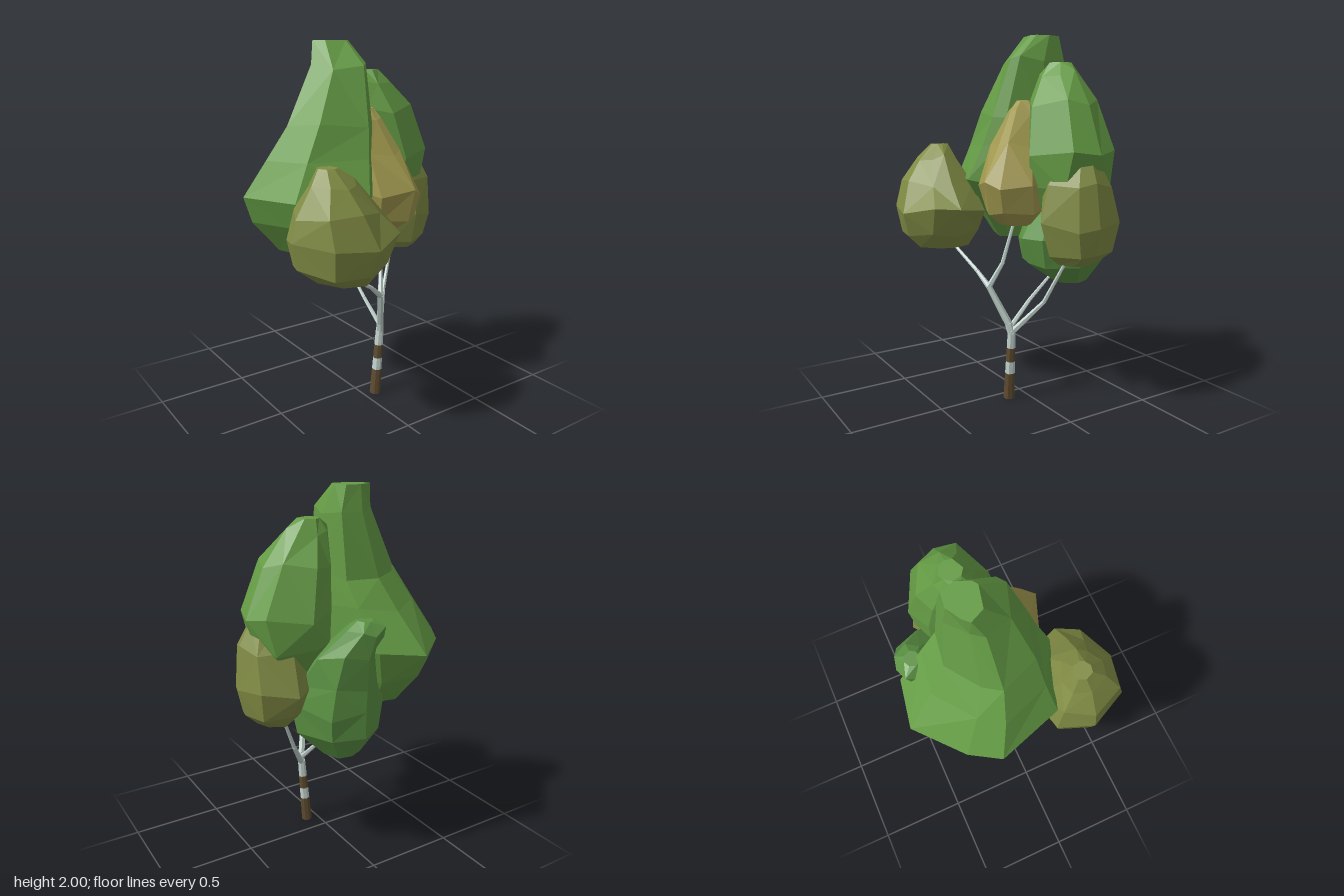
import * as THREE from 'three';

const paint = (color) => new THREE.MeshStandardMaterial({ color, flatShading: true });

// Small seeded generator for the irregular facets
function seeded(seed) {
  let s = seed;
  return () => (s = (s * 16807) % 2147483647) / 2147483647;
}

// Irregular plan outline, running from +x towards +z
function roughPlan(rand, sides = 8) {
  return Array.from({ length: sides }, (_, i) => {
    const a = ((i + 0.5 * (rand() - 0.5)) / sides) * Math.PI * 2;
    return [Math.cos(a), Math.sin(a)];
  });
}

// Foliage clump: the plan is fitted to each ring [y, xMin, xMax, zMin, zMax], bottom to top
function clump(name, color, seed, rings, basePlan) {
  const rand = seeded(seed);
  for (let i = 0; i < 5; i++) rand();
  const plan = basePlan || roughPlan(rand);
  const n = plan.length, last = rings.length - 1;
  const pos = [], index = [];
  rings.forEach(([y, x0, x1, z0, z1], r) => {
    const pts = plan.map(([x, z]) => [x + 0.1 * (rand() - 0.5), z + 0.1 * (rand() - 0.5)]);
    if (basePlan) pts.forEach((p, i) => { p[0] = plan[i][0]; p[1] = plan[i][1]; });
    const xs = pts.map((p) => p[0]), zs = pts.map((p) => p[1]);
    const fit = (v, list, a, b) => {
      const lo = Math.min(...list), hi = Math.max(...list);
      return a + ((v - lo) / (hi - lo)) * (b - a);
    };
    const wobble = r === 0 || r === last ? 0 : 0.05;
    for (const [x, z] of pts) {
      pos.push(fit(x, xs, x0, x1), y + wobble * (rand() - 0.5), fit(z, zs, z0, z1));
    }
    if (r === last) return;
    for (let i = 0; i < n; i++) {
      const a = r * n + i, b = r * n + ((i + 1) % n), c = a + n, d = b + n;
      if ((i + r) % 2) index.push(a, c, b, b, c, d);
      else index.push(a, c, d, a, d, b);
    }
  });
  // Bottom and top caps
  for (let i = 1; i < n - 1; i++) {
    const t = last * n;
    index.push(0, i, i + 1, t, t + i + 1, t + i);
  }
  const geo = new THREE.BufferGeometry();
  geo.setAttribute('position', new THREE.Float32BufferAttribute(pos, 3));
  geo.setIndex(index);
  const flat = geo.toNonIndexed();
  flat.computeVertexNormals();
  const mesh = new THREE.Mesh(flat, paint(color));
  mesh.name = name;
  return mesh;
}

// Chain of tapered cylinders through points [x, y, z, radius]
function limb(name, color, points, sides = 6) {
  const group = new THREE.Group();
  group.name = name;
  const material = paint(color);
  for (let i = 0; i < points.length - 1; i++) {
    const a = new THREE.Vector3(...points[i]), b = new THREE.Vector3(...points[i + 1]);
    const dir = b.clone().sub(a);
    const mesh = new THREE.Mesh(
      new THREE.CylinderGeometry(points[i + 1][3], points[i][3], dir.length(), sides), material);
    mesh.position.copy(a).add(b).multiplyScalar(0.5);
    mesh.quaternion.setFromUnitVectors(new THREE.Vector3(0, 1, 0), dir.normalize());
    mesh.name = name + 'Segment';
    group.add(mesh);
  }
  return group;
}

export function createModel() {
  const tree = new THREE.Group();
  tree.name = 'tree';
  const bark = 0xc4d4ce, dark = 0x5f4c30, green = 0x659c45, olive = 0x828d45, yellow = 0xa39a50;

  // Banded trunk
  const levels = [0, 0.15, 0.22, 0.3, 0.4];
  const at = (y) => [0.11, y, -0.067 - 0.08 * y, 0.031 - 0.022 * y];
  for (let i = 0; i < 4; i++) {
    tree.add(limb('trunkBand', i % 2 ? bark : dark, [at(levels[i]), at(levels[i + 1])], 8));
  }

  // Branches
  const fork = [0.21, 0.645, -0.025, 0.016];
  tree.add(
    limb('mainBranch', bark, [[0.11, 0.38, -0.1, 0.023], [0.125, 0.44, -0.09, 0.021], fork]),
    limb('frontBranch', bark, [fork, [0.235, 0.72, 0.06, 0.011], [0.28, 0.87, 0.32, 0.008]]),
    limb('middleBranch', bark, [fork, [0.15, 0.78, -0.07, 0.011], [0.09, 1.02, -0.1, 0.008]]),
    limb('backBranch', bark, [[0.11, 0.39, -0.1, 0.018], [-0.02, 0.57, -0.22, 0.012], [-0.1, 0.85, -0.345, 0.008]]),
    limb('sideBranch', bark, [[0.115, 0.42, -0.095, 0.014], [-0.02, 0.55, -0.08, 0.011], [-0.18, 0.69, -0.08, 0.008]]),
  );

  // Foliage
  tree.add(
    clump('tallClump', green, 11, [
      [0.88, -0.35, 0.03, 0.08, 0.38],
      [1.04, -0.5, 0.15, 0, 0.52],
      [1.21, -0.58, 0.27, -0.08, 0.57],
      [1.4, -0.42, 0.2, -0.1, 0.46],
      [1.57, -0.32, 0.155, -0.1, 0.35],
      [1.87, -0.27, 0.06, -0.09, 0.19],
      [2, -0.25, -0.08, -0.05, 0.15],
    ], [[0.27, 0.08], [0.14, 0.455], [-0.215, 0.57], [-0.37, 0.47],
      [-0.58, 0.22], [-0.53, -0.04], [-0.15, -0.1], [0.18, -0.01]]),
    clump('frontClump', olive, 23, [
      [0.845, 0.17, 0.48, 0.15, 0.44],
      [0.92, 0.11, 0.54, 0.09, 0.56],
      [1.06, 0.08, 0.58, 0, 0.585],
      [1.2, 0.13, 0.52, 0.12, 0.56],
      [1.33, 0.2, 0.44, 0.24, 0.47],
      [1.41, 0.25, 0.35, 0.32, 0.42],
    ]),
    clump('middleClump', yellow, 37, [
      [1, 0.02, 0.18, -0.22, 0],
      [1.08, -0.04, 0.28, -0.29, 0.03],
      [1.22, -0.05, 0.315, -0.31, 0.05],
      [1.42, -0.04, 0.2, -0.22, 0.05],
      [1.6, -0.04, 0.1, -0.15, 0.03],
      [1.65, -0.03, 0.05, -0.11, 0],
    ]),
    clump('backUpperClump', green, 41, [
      [1.08, -0.25, 0.02, -0.4, -0.15],
      [1.22, -0.34, 0.09, -0.49, -0.08],
      [1.39, -0.36, 0.11, -0.54, -0.06],
      [1.63, -0.31, 0.06, -0.44, -0.06],
      [1.79, -0.23, -0.03, -0.31, -0.08],
      [1.845, -0.2, -0.08, -0.24, -0.13],
    ]),
    clump('backLowerClump', olive, 59, [
      [0.81, -0.22, 0, -0.48, -0.3],
      [0.87, -0.3, 0.05, -0.55, -0.24],
      [1.01, -0.35, 0.1, -0.585, -0.2],
      [1.22, -0.29, 0.06, -0.56, -0.22],
      [1.36, -0.2, -0.02, -0.5, -0.3],
    ]),
    clump('sideClump', 0x5c9344, 71, [
      [0.63, -0.38, -0.2, -0.18, 0.02],
      [0.76, -0.49, -0.01, -0.3, 0.13],
      [0.9, -0.5, 0.03, -0.33, 0.17],
      [1.03, -0.5, -0.03, -0.3, 0.12],
      [1.2, -0.52, -0.22, -0.26, 0.08],
      [1.33, -0.53, -0.36, -0.15, 0.05],
      [1.38, -0.48, -0.4, -0.09, 0],
    ]),
  );
  return tree;
}
